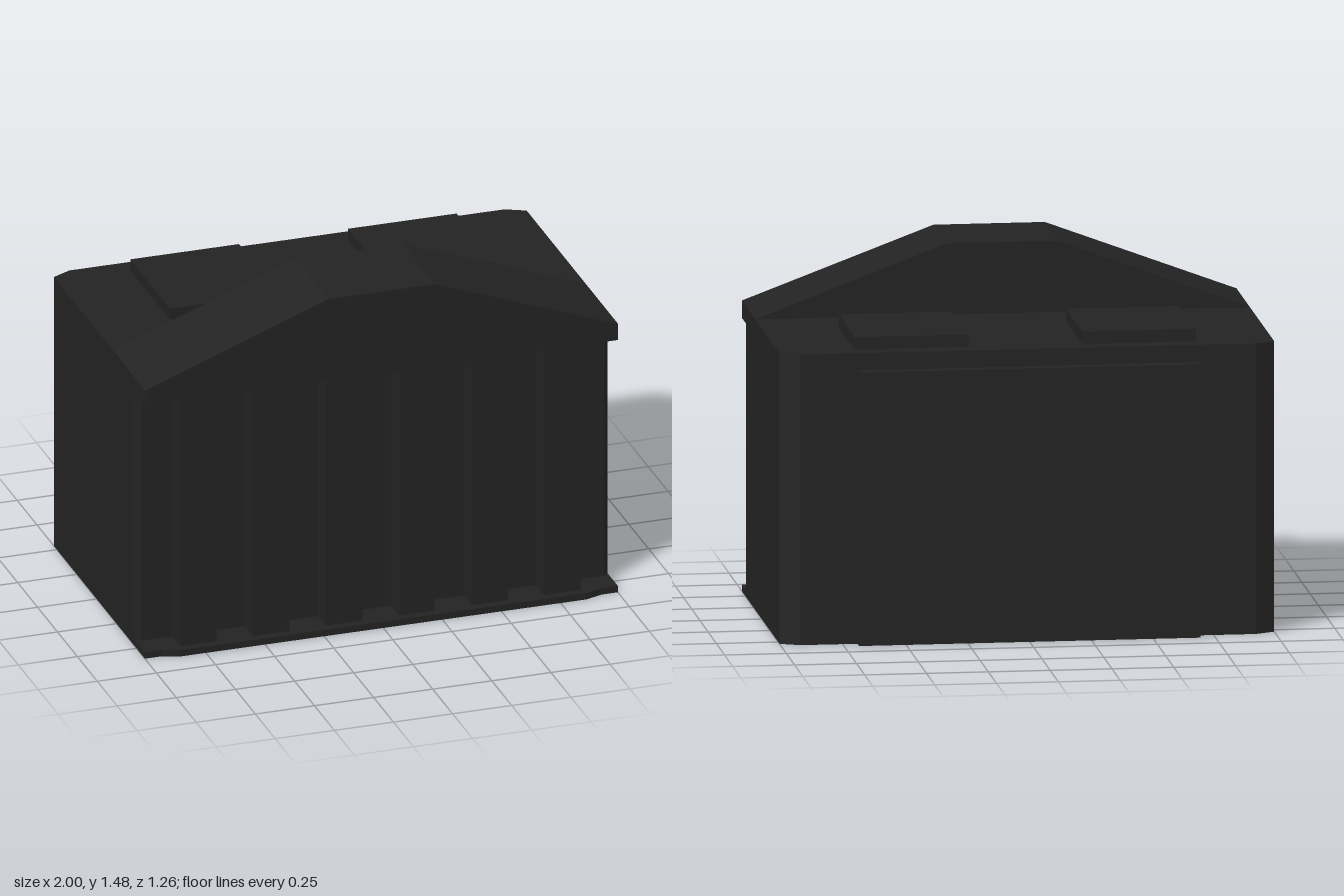
import * as THREE from 'three';

const WALL_TOP = 1.115, EAVE = 1.185, RIDGE = 1.475;
const WALL_Z = 0.495, PILLAR_Z = 0.595, BACK_Z = -0.58;

export function createModel() {
  const group = new THREE.Group();
  const charcoal = new THREE.MeshStandardMaterial({ color: 0x232323, side: THREE.DoubleSide });
  charcoal.name = 'charcoal';

  const add = (name, geometry) => {
    const mesh = new THREE.Mesh(geometry, charcoal);
    mesh.name = name;
    group.add(mesh);
    return mesh;
  };

  // Plan outlines are [x, z] points; the shape lies flat, facing up
  const plan = (pts) => new THREE.Shape(pts.map(([x, z]) => new THREE.Vector2(x, -z)));
  const slab = (pts, y, height) =>
    new THREE.ExtrudeGeometry(plan(pts), { depth: height, bevelEnabled: false })
      .rotateX(-Math.PI / 2).translate(0, y, 0);

  // Front wall line, stepping out around six square pillars
  const front = [[-1, 0.475], [-0.98, WALL_Z]];
  for (let i = 0; i < 6; i++) {
    const x = (i - 2.5) * 0.308, h = 0.077;
    front.push([x - h, WALL_Z], [x - h, PILLAR_Z], [x + h, PILLAR_Z], [x + h, WALL_Z]);
  }
  front.push([0.98, WALL_Z], [1, 0.475]);

  // Hollow walls, open below, with a raised panel at the back
  const outline = [
    ...front,
    [1, -0.54], [0.92, BACK_Z], [0.69, BACK_Z], [0.69, -0.63],
    [-0.69, -0.63], [-0.69, BACK_Z], [-0.92, BACK_Z], [-1, -0.54],
  ];
  const pos = [];
  outline.forEach(([x0, z0], i) => {
    const [x1, z1] = outline[(i + 1) % outline.length];
    pos.push(x0, 0, z0, x1, 0, z1, x1, WALL_TOP, z1);
    pos.push(x0, 0, z0, x1, WALL_TOP, z1, x0, WALL_TOP, z0);
  });
  const walls = new THREE.BufferGeometry();
  walls.setAttribute('position', new THREE.Float32BufferAttribute(pos, 3));
  walls.computeVertexNormals();
  add('wallsAndPillars', walls);
  add('wallCap', new THREE.ShapeGeometry(plan(outline))
    .rotateX(-Math.PI / 2).translate(0, WALL_TOP - 0.001, 0));

  // Flat roof overhanging the pillars
  add('roof', slab([
    [-1, 0.61], [1, 0.61], [1, -0.54], [0.92, BACK_Z], [-0.92, BACK_Z], [-1, -0.54],
  ], WALL_TOP, EAVE - WALL_TOP));

  // Pediment over the front
  const gable = new THREE.Shape([[-1, EAVE], [1, EAVE], [0.225, RIDGE], [-0.225, RIDGE]]
    .map(([x, y]) => new THREE.Vector2(x, y)));
  add('pediment', new THREE.ExtrudeGeometry(gable, { depth: 0.41, bevelEnabled: false })
    .translate(0, 0, 0.2));

  // Front step, fitted around the pillars
  add('frontStep', slab([
    ...front, [1, 0.605], [0.93, 0.605], [0.86, 0.63],
    [-0.86, 0.63], [-0.93, 0.605], [-1, 0.605],
  ], 0, 0.028));

  // Two low boxes on the roof
  for (const side of [-1, 1]) {
    add(side > 0 ? 'leftRoofBox' : 'rightRoofBox', new THREE.BoxGeometry(0.46, 0.05, 0.5))
      .position.set(side * 0.46, EAVE + 0.025, -0.25);
  }
  return group;
}
